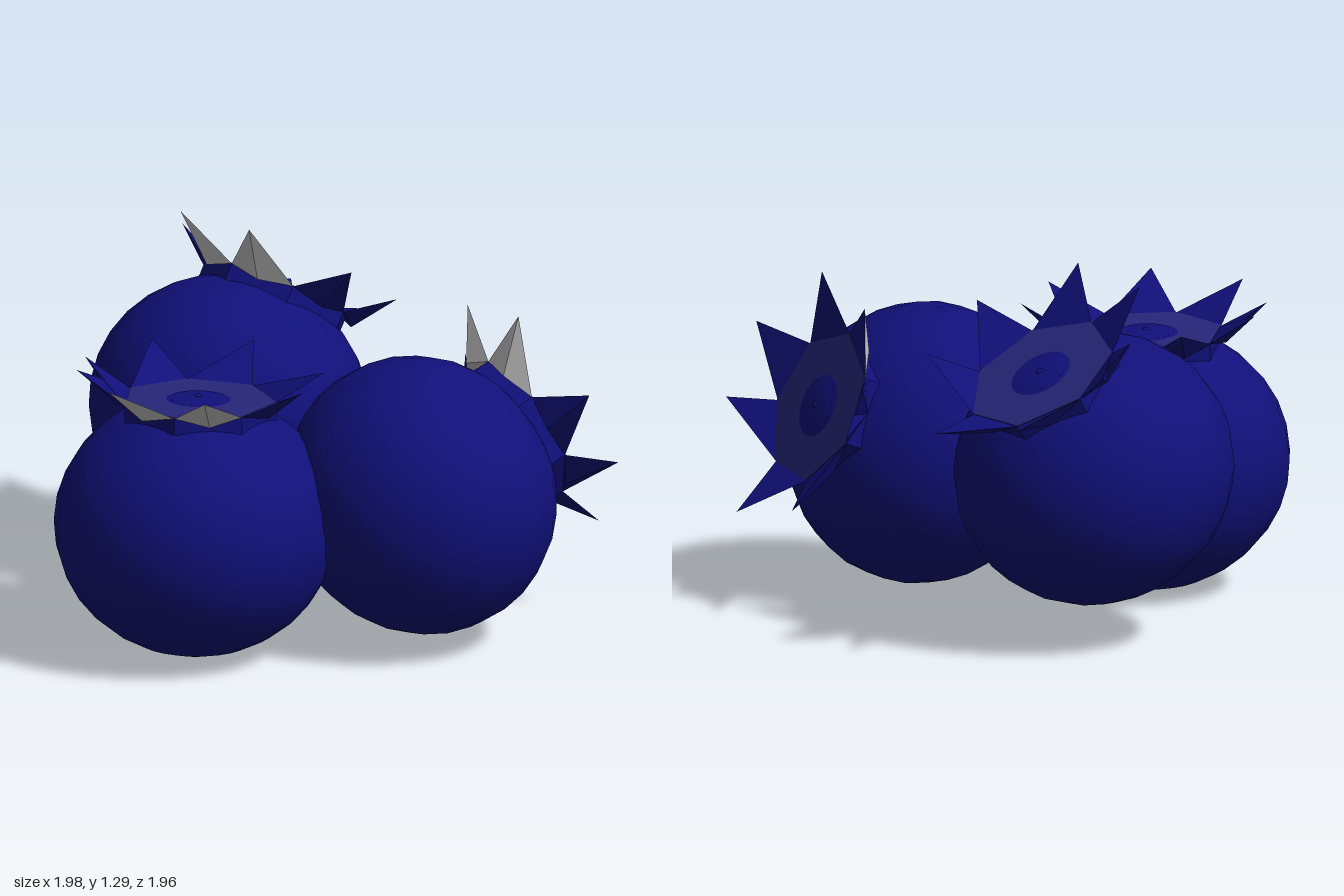
import * as THREE from 'three';

const paint = (color, flatShading = false) =>
  new THREE.MeshStandardMaterial({ color, flatShading, side: THREE.DoubleSide });
const skin = paint(0x10107a);
const leaf = paint(0x10107a, true);
const disc = paint(0x26267a, true);
const grey = paint(0xcccccc, true);

const SIDES = 7, RIM = 0.27, TOP = 0.44;
// spikes: [rim edge, tip angle in degrees, tip radius, grey underside]
const SPIKES = [
  [0, 70, 0.45, true], [1, 117, 0.44, true], [2, 184, 0.42], [2, 159, 0.42],
  [3, 231, 0.44], [4, 277, 0.45], [5, 343, 0.43], [6, 380, 0.45],
];

function add(parent, name, geometry, material, y = 0) {
  const mesh = new THREE.Mesh(geometry, material);
  mesh.name = name;
  mesh.position.y = y;
  parent.add(mesh);
  return mesh;
}

function polar(deg, r, y) {
  const t = THREE.MathUtils.degToRad(deg);
  return new THREE.Vector3(Math.cos(t) * r, y, Math.sin(t) * r);
}

function faces(points) {
  const g = new THREE.BufferGeometry().setFromPoints(points);
  g.computeVertexNormals();
  return g;
}

// one sepal: flat upper face and a ridged underside
function makeSpike(parent, [edge, tipAngle, tipRadius, isGrey], turn) {
  const step = 360 / SIDES;
  const mid = 90 - step / 2 + edge * step + turn;
  const a = polar(mid - step / 2, RIM, TOP);
  const b = polar(mid + step / 2, RIM, TOP);
  const ridge = polar(mid, RIM + 0.01, TOP - 0.025);
  const tip = polar(tipAngle + turn, tipRadius, TOP + 0.105);
  const spike = new THREE.Group();
  spike.name = 'sepal';
  add(spike, 'sepalTop', faces([a, b, tip]), leaf);
  add(spike, 'sepalUnderside', faces([a, tip, ridge, ridge, tip, b, b, a, ridge]), isGrey ? grey : leaf);
  parent.add(spike);
}

function makeBerry(name, centre, axis, turn) {
  const berry = new THREE.Group();
  berry.name = name;
  berry.position.set(...centre);
  berry.quaternion.setFromUnitVectors(
    new THREE.Vector3(0, 1, 0), new THREE.Vector3(...axis).normalize());

  // slightly flattened fruit
  add(berry, 'fruit', new THREE.SphereGeometry(1, 24, 16), skin).scale.set(0.488, 0.456, 0.488);

  // crown: neck, cap, centre button and sepals
  const start = -THREE.MathUtils.degToRad(turn);
  add(berry, 'crownNeck',
    new THREE.CylinderGeometry(RIM, RIM, 0.09, SIDES, 1, true, start), leaf, TOP - 0.045);
  add(berry, 'crownCap',
    new THREE.CylinderGeometry(RIM, RIM, 0.006, SIDES, 1, false, start), disc, TOP);
  add(berry, 'crownButton', new THREE.CylinderGeometry(0.097, 0.097, 0.01, 20), skin, TOP + 0.002);
  add(berry, 'styleScar', new THREE.SphereGeometry(0.018, 8, 6), skin, TOP + 0.004);
  for (const spike of SPIKES) makeSpike(berry, spike, turn);
  return berry;
}

export function createModel() {
  const model = new THREE.Group();
  model.name = 'berries';
  model.add(
    makeBerry('frontBerry', [-0.37, 0.457, 0.485], [0, 0.998, -0.06], 0),
    makeBerry('leftBerry', [0.325, 0.52, 0.137], [0.57, 0.39, -0.72], 44),
    makeBerry('backBerry', [-0.51, 0.6, -0.335], [0.24, 0.84, -0.5], 27),
  );
  return model;
}
